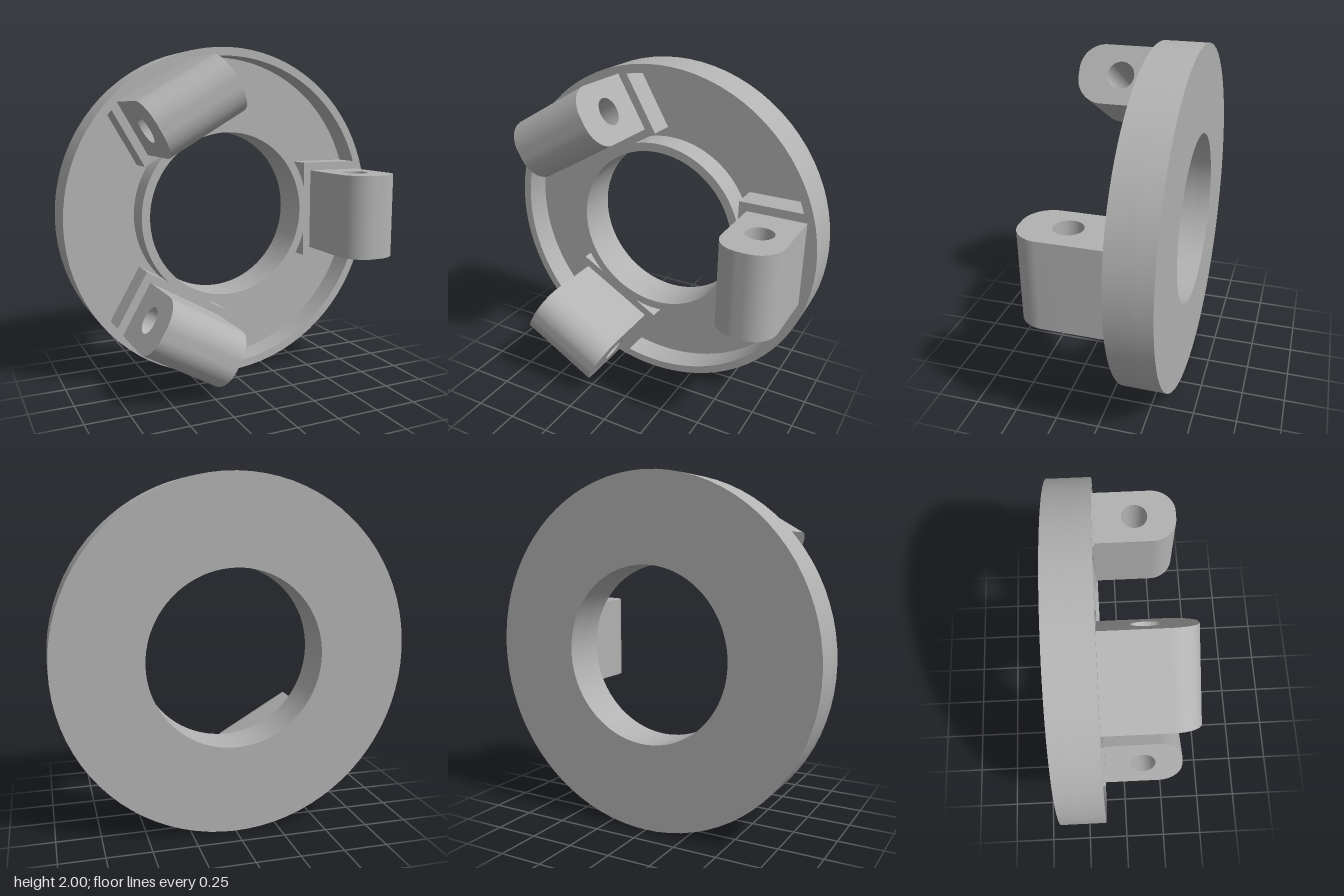
import * as THREE from 'three';
import { toCreasedNormals } from 'three/addons/utils/BufferGeometryUtils.js';

const BACK = -0.375, FRONT = -0.125, FLOOR = -0.285; // ring depth levels along z
const THIRD = Math.PI * 2 / 3;

function extrude(shape, depth) {
  return toCreasedNormals(new THREE.ExtrudeGeometry(shape, { depth, bevelEnabled: false, curveSegments: 40 }), 0.6);
}

function ringShape() {
  const ring = new THREE.Shape();
  ring.absarc(0, 0, 1, 0, Math.PI * 2, false);
  const bore = new THREE.Path();
  bore.absarc(0, 0, 0.5, 0, Math.PI * 2, true);
  ring.holes.push(bore);
  return ring;
}

// Pocket between two lug seats; each seat starts 0.53 out and is 0.6 wide
function pocketPath(turn) {
  const outer = Math.asin(0.3 / 0.95);
  const inner = Math.acos(0.53 / 0.55);
  const corner = Math.atan2(0.3, 0.53), r = Math.hypot(0.53, 0.3);
  const path = new THREE.Path();
  path.absarc(0, 0, 0.95, turn + outer, turn + THIRD - outer, false);
  path.lineTo(r * Math.cos(turn + THIRD - corner), r * Math.sin(turn + THIRD - corner));
  path.absarc(0, 0, 0.55, turn + THIRD - inner, turn + inner, true);
  path.lineTo(r * Math.cos(turn + corner), r * Math.sin(turn + corner));
  path.closePath();
  return path;
}

// Lug profile in x and z, with rounded tip and pin hole
function lugGeometry() {
  const x0 = 0.578, x1 = 0.925, tip = 0.372, r = 0.15;
  const s = new THREE.Shape();
  s.moveTo(x0, FRONT - 0.01);
  s.lineTo(x1, FRONT - 0.01);
  s.lineTo(x1, tip - r);
  s.absarc(x1 - r, tip - r, r, 0, Math.PI / 2, false);
  s.lineTo(x0 + r, tip);
  s.absarc(x0 + r, tip - r, r, Math.PI / 2, Math.PI, false);
  s.closePath();
  const hole = new THREE.Path();
  hole.absarc(0.75, 0.12, 0.079, 0, Math.PI * 2, true);
  s.holes.push(hole);
  return extrude(s, 0.5).rotateX(Math.PI / 2).translate(0, 0.25, 0);
}

export function createModel() {
  const grey = new THREE.MeshStandardMaterial({ color: 0xb2b2b2 });
  grey.name = 'grey';
  const model = new THREE.Group();
  model.name = 'lugRing';
  model.position.y = 1;

  const add = (name, geometry) => {
    const mesh = new THREE.Mesh(geometry, grey);
    mesh.name = name;
    model.add(mesh);
    return mesh;
  };

  // Solid back plate
  add('backPlate', extrude(ringShape(), FLOOR - BACK)).position.z = BACK;

  // Rims and lug seats, left standing around the three pockets
  const rim = ringShape();
  for (let i = 0; i < 3; i++) rim.holes.push(pocketPath(i * THIRD));
  add('pocketedRim', extrude(rim, FRONT - FLOOR)).position.z = FLOOR;

  // Three pin lugs
  const lug = lugGeometry();
  for (let i = 0; i < 3; i++) add('lug' + (i + 1), lug).rotation.z = i * THIRD;

  const root = new THREE.Group();
  root.name = 'model';
  root.add(model);
  return root;
}
